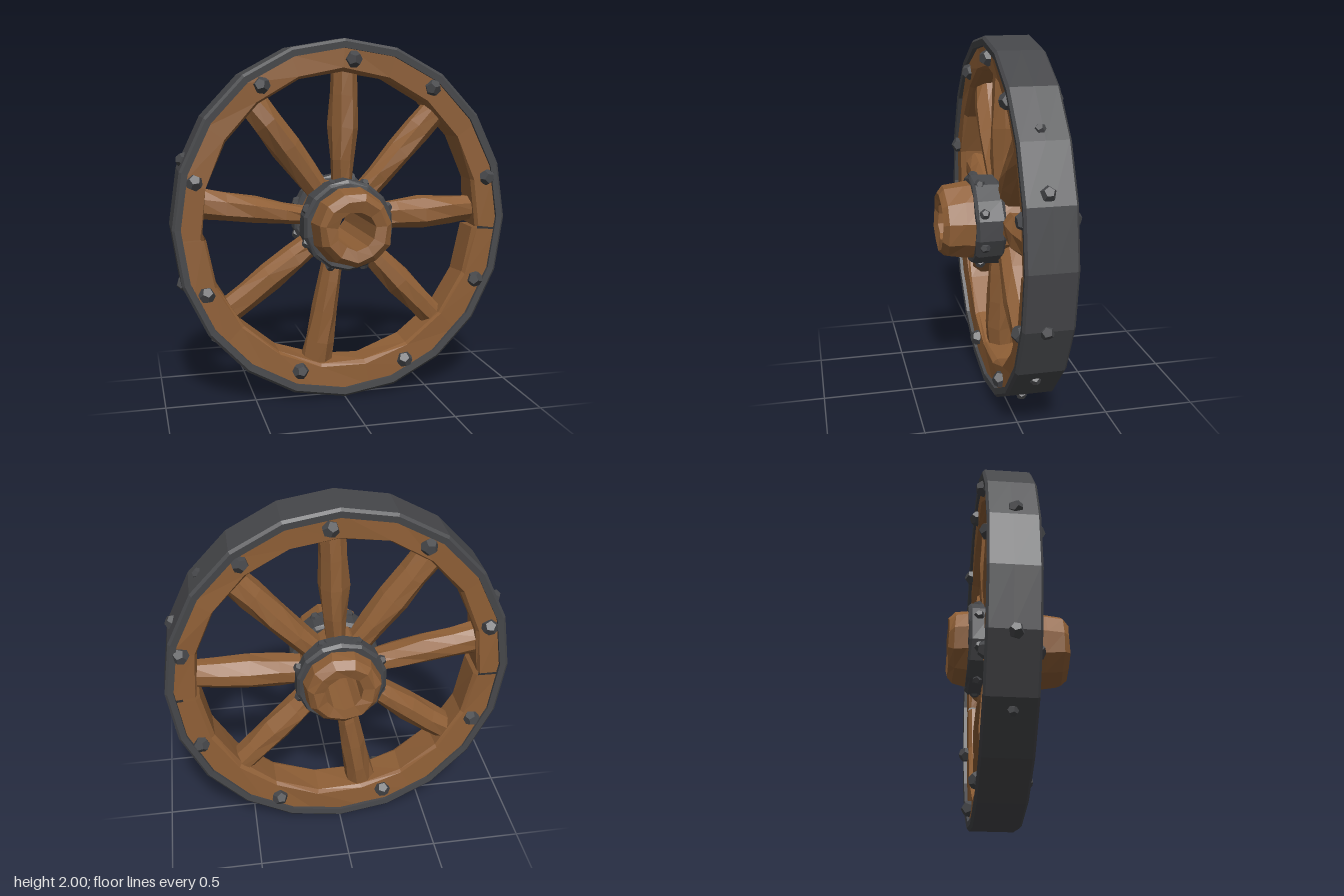
import * as THREE from 'three';

const wood = new THREE.MeshStandardMaterial({ color: 0x8f5f36, flatShading: true, side: THREE.DoubleSide });
const iron = new THREE.MeshStandardMaterial({ color: 0x46474a, flatShading: true });
const CY = 1;        // axle height
const MID = -0.06;   // mid-plane of the rim
const WIDE = 0.94;   // the wheel is slightly narrower than tall
const rad = THREE.MathUtils.degToRad;

// Repeatable hash in -0.5..0.5, so coincident vertices move together
function hash(x, y, z) {
  const s = Math.sin(Math.round(x * 500) * 12.99 + Math.round(y * 500) * 78.23 + Math.round(z * 500) * 37.72) * 43758.5;
  return s - Math.floor(s) - 0.5;
}

// Hand-hewn unevenness
function roughen(geo, amount) {
  const p = geo.attributes.position;
  for (let i = 0; i < p.count; i++) {
    const x = p.getX(i), y = p.getY(i), z = p.getZ(i);
    p.setXYZ(i, x + amount * hash(x, y, z), y + amount * hash(y + 1, z, x), z + amount * hash(z + 2, x, y));
  }
  geo.computeVertexNormals();
  return geo;
}

// Turned ring about the z axis; profile holds [radius, z] pairs, counter-clockwise
function ring(profile, sides, start = 0, length = 360) {
  const pts = [...profile, profile[0]].map(([r, z]) => new THREE.Vector2(r, z));
  return new THREE.LatheGeometry(pts, sides, rad(start), rad(length)).rotateX(Math.PI / 2);
}

function add(parent, name, geo, mat) {
  const mesh = new THREE.Mesh(geo, mat);
  mesh.name = name;
  parent.add(mesh);
  return mesh;
}

// Faceted bolt head
function bolt(parent, name, x, y, z, size, turn) {
  const b = add(parent, name, new THREE.DodecahedronGeometry(size), iron);
  b.position.set(x, y, z);
  b.rotation.set(turn, turn * 0.7, turn * 1.9);
}

// Tapered spoke with an eight-sided section; widths at hub, middle and rim
function spoke(widths) {
  const inner = 0.17, outer = 0.87;
  const geo = new THREE.CylinderGeometry(1, 1, 1, 8, 4);
  geo.rotateY(Math.PI / 8);
  const p = geo.attributes.position;
  for (let i = 0; i < p.count; i++) {
    const t = p.getY(i) + 0.5;
    const w = t < 0.5 ? THREE.MathUtils.lerp(widths[0], widths[1], t * 2)
      : THREE.MathUtils.lerp(widths[1], widths[2], t * 2 - 1);
    const d = 0.075 + 0.018 * Math.sin(Math.PI * t);
    p.setXYZ(i, p.getX(i) * w * 1.08, inner + t * (outer - inner), p.getZ(i) * d * 1.08 + MID);
  }
  return roughen(geo, 0.014);
}

export function createModel() {
  const wheel = new THREE.Group();
  wheel.name = 'wagonWheel';
  const body = new THREE.Group();
  body.name = 'wheelBody';
  body.position.y = CY;
  wheel.add(body);

  // Iron tyre
  const tyre = ring([[0.95, -0.185], [0.985, -0.188], [1, -0.175], [1, MID], [1, 0.065], [0.985, 0.078], [0.95, 0.075]], 20);
  add(body, 'tyre', tyre.scale(WIDE, 1, 1), iron);

  // Wooden rim in two felloes with narrow joints
  const felloe = (r) => [[r + 0.015, -0.165], [0.965, -0.168], [0.965, 0.055], [r + 0.015, 0.052], [r, 0.03], [r, -0.14]];
  const upper = ring(felloe(0.825), 10, 86.4, 187.2);
  const lower = ring(felloe(0.815), 9, -85.6, 171.2);
  add(body, 'upperFelloe', roughen(upper, 0.012).scale(WIDE, 1, 1), wood);
  add(body, 'lowerFelloe', roughen(lower, 0.012).scale(WIDE, 1, 1), wood);

  // Spokes: direction and half widths
  const spokes = [
    [88, [0.05, 0.08, 0.07]], [46, [0.06, 0.07, 0.075]], [3, [0.07, 0.085, 0.068]], [-45, [0.06, 0.08, 0.07]],
    [-100.5, [0.05, 0.07, 0.09]], [-144.5, [0.055, 0.075, 0.075]], [171.5, [0.045, 0.07, 0.085]], [128, [0.06, 0.08, 0.08]],
  ];
  spokes.forEach(([deg, widths], i) => {
    const geo = spoke(widths).rotateZ(rad(deg - 90)).scale(WIDE, 1, 1);
    add(body, `spoke${i + 1}`, geo, wood);
  });

  // Bored wooden hub with rounded ends
  const hub = ring([
    [0.105, -0.315], [0.165, -0.33], [0.2, -0.295], [0.212, -0.23], [0.225, -0.12], [0.225, 0.1],
    [0.212, 0.2], [0.2, 0.3], [0.165, 0.33], [0.105, 0.315],
  ], 11);
  add(body, 'hub', roughen(hub, 0.012), wood);

  // Iron hub bands and their studs
  for (const [name, z0, z1] of [['frontHubBand', 0.0, 0.16], ['backHubBand', -0.225, -0.12]]) {
    const band = ring([[0.2, z0], [0.235, z0], [0.25, z0 + 0.015], [0.25, z1 - 0.015], [0.235, z1], [0.2, z1]], 14);
    add(body, name, roughen(band, 0.008), iron);
    for (let i = 0; i < 8; i++) {
      const a = rad(22 + i * 45);
      const z = z0 < -0.1 ? -0.17 : 0.115;
      bolt(body, `${name}Stud${i + 1}`, 0.242 * Math.cos(a), 0.242 * Math.sin(a), z, 0.03, i);
    }
  }

  // Rim bolts on both faces
  const rimBolts = [[0.05, 0.89], [0.5, 0.735], [0.835, 0.23], [0.775, -0.36], [0.355, -0.81],
    [-0.255, -0.83], [-0.765, -0.36], [-0.815, 0.25], [-0.45, 0.755]];
  rimBolts.forEach(([x, y], i) => {
    bolt(body, `frontRimBolt${i + 1}`, x, y, 0.06, 0.047, i);
    bolt(body, `backRimBolt${i + 1}`, x, y, -0.172, 0.047, i + 3);
  });

  // Studs around the tyre tread
  [21.5, -18.5, 158.5, -161.5, 40, -42, -64, 220].forEach((deg, i) => {
    const a = rad(deg);
    bolt(body, `treadStud${i + 1}`, 0.985 * WIDE * Math.cos(a), 0.985 * Math.sin(a), -0.045, i < 4 ? 0.042 : 0.03, i);
  });
  return wheel;
}
